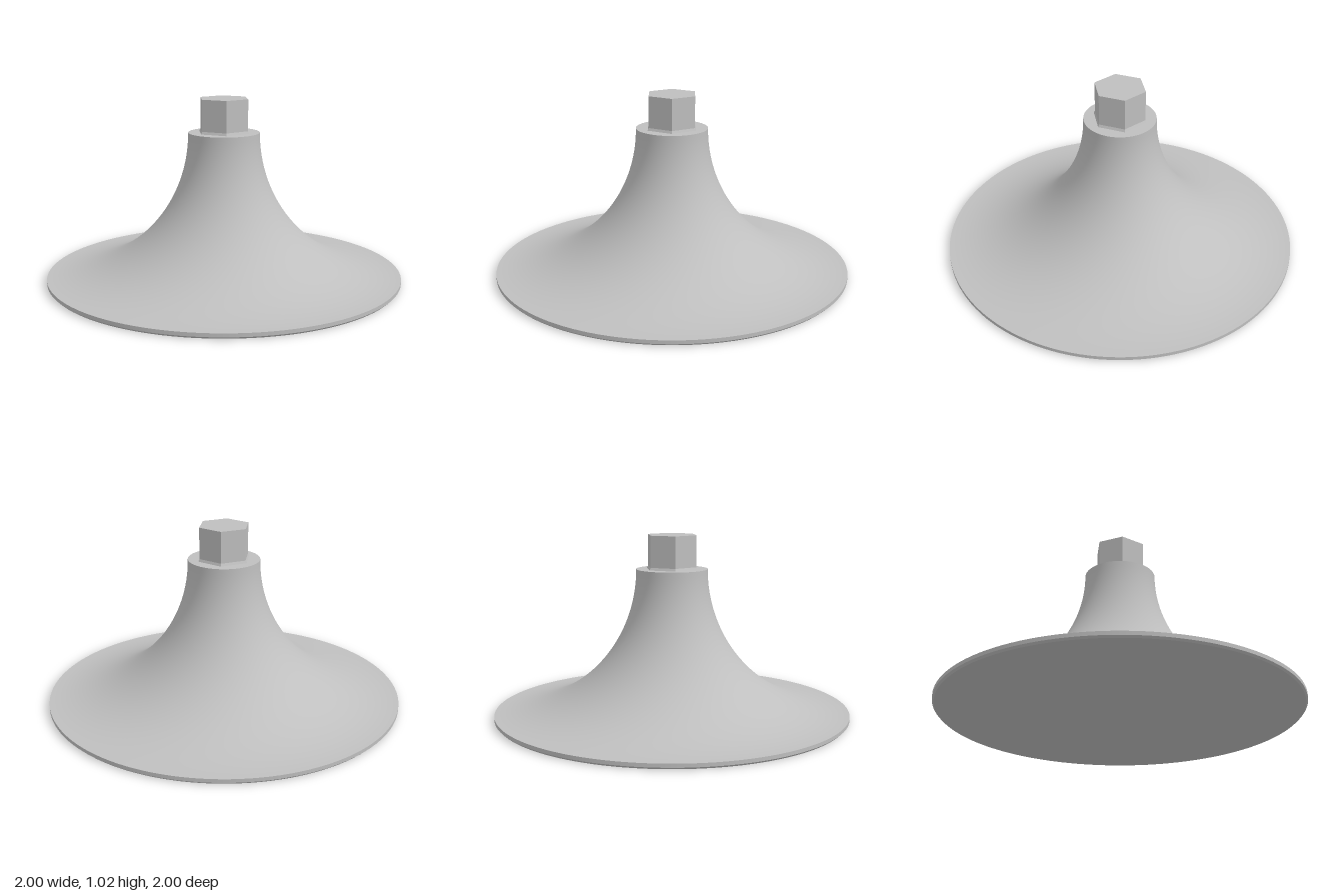
import * as THREE from 'three';

export function createModel() {
  const group = new THREE.Group();
  const grey = new THREE.MeshStandardMaterial({ color: 0xbfbfbf });
  grey.name = 'plain grey';

  const add = (name, geometry, y = 0) => {
    const mesh = new THREE.Mesh(geometry, grey);
    mesh.name = name;
    mesh.position.y = y;
    group.add(mesh);
  };
  // Profiles run from bottom to top so the faces point outward
  const lathe = (points) =>
    new THREE.LatheGeometry(points.map(([x, y]) => new THREE.Vector2(x, y)), 128);

  // Flat foot and thin rim, kept apart so the edges stay sharp
  add('underside', lathe([[0, 0], [0.99, 0]]));
  add('rimBevel', lathe([[0.99, 0], [1, 0.01]]));
  add('rim', lathe([[1, 0.01], [1, 0.03]]));

  // Concave flare: a quarter circle sweeping from the rim up to the neck
  const arc = [];
  for (let i = 0; i <= 40; i++) {
    const a = (i / 40) * Math.PI / 2;
    arc.push([1 - 0.8 * Math.sin(a), 0.83 - 0.8 * Math.cos(a)]);
  }
  add('flare', lathe(arc));
  add('shoulder', lathe([[0.2, 0.83], [0, 0.83]]));

  // Hexagonal stud with corners to front and back, and a small fillet at its foot
  add('hexStud', hexPrism(0.146, 0.146, 0.19), 0.925);
  add('studFillet', hexPrism(0.146, 0.153, 0.014), 0.837);
  return group;
}

// Six-sided prism with flat faces
function hexPrism(top, bottom, height) {
  const geometry = new THREE.CylinderGeometry(top, bottom, height, 6).toNonIndexed();
  geometry.computeVertexNormals();
  return geometry;
}
